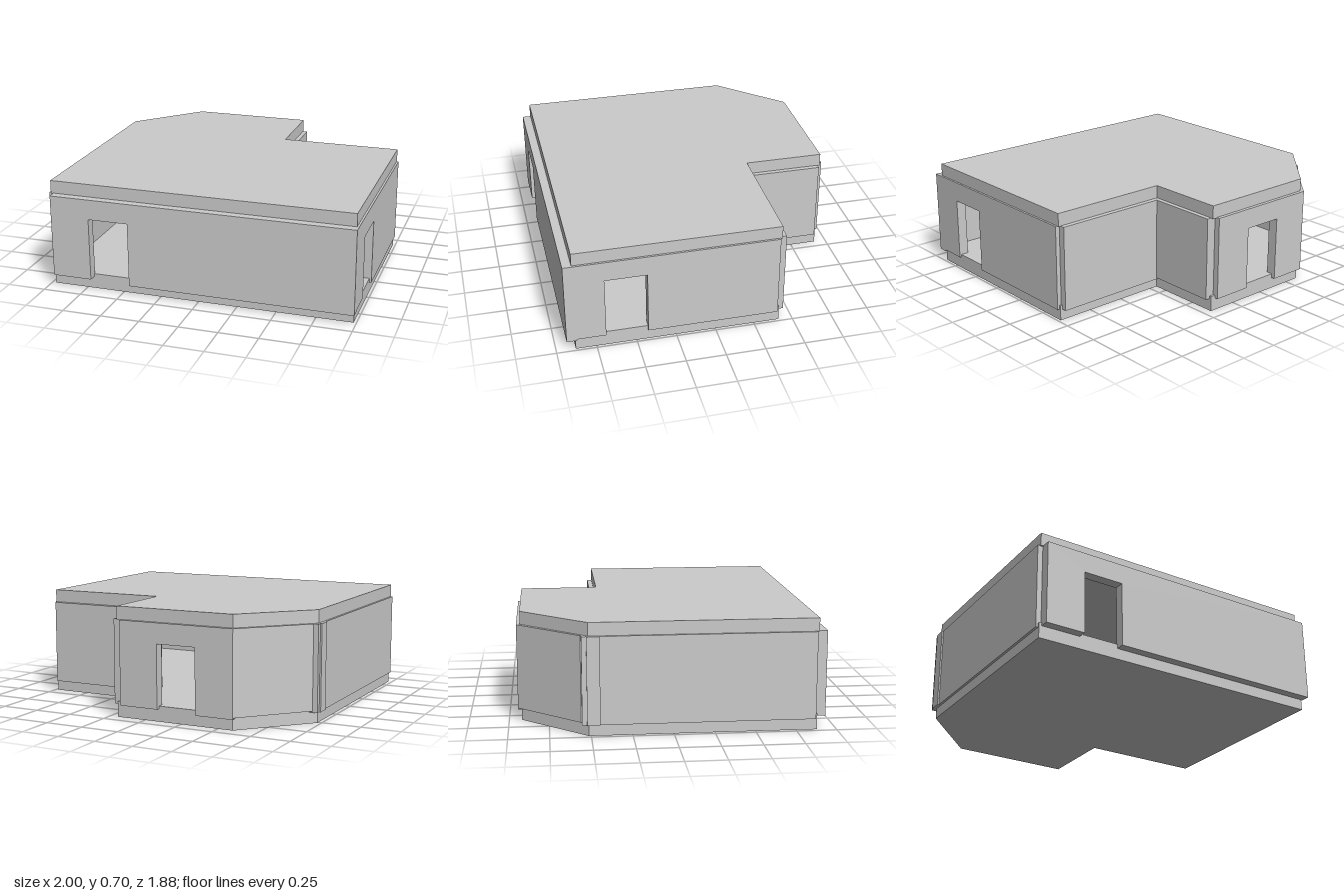
import * as THREE from 'three';

const material = new THREE.MeshStandardMaterial({ color: 0xcccccc, flatShading: true });

// Building footprint as [x, z] corners
const footprint = [
  [-0.975, 0.88], [0.983, 0.88], [0.983, -0.412], [0.195, -0.412],
  [0.195, -0.92], [-0.597, -0.92], [-0.975, -0.515],
];

// Horizontal slab following the footprint
function slab(name, y0, y1) {
  const shape = new THREE.Shape(footprint.map(([x, z]) => new THREE.Vector2(x, -z)));
  const geometry = new THREE.ExtrudeGeometry(shape, { depth: y1 - y0, bevelEnabled: false });
  geometry.rotateX(-Math.PI / 2);
  geometry.translate(0, y0, 0);
  const mesh = new THREE.Mesh(geometry, material);
  mesh.name = name;
  return mesh;
}

// Wall panel whose outer face runs from a to b ([x, z], left to right seen from outside).
// door: [start, end] distances along the wall, open at the bottom.
function wall(name, a, b, { thickness = 0.065, bottom = 0.08, door } = {}) {
  const dx = b[0] - a[0], dz = b[1] - a[1];
  const length = Math.hypot(dx, dz);
  const top = 0.615, doorTop = 0.485, bottomAfterDoor = 0.07;
  const points = [[0, bottom]];
  if (door) {
    points.push([door[0], bottom], [door[0], doorTop], [door[1], doorTop],
      [door[1], bottomAfterDoor], [length, bottomAfterDoor]);
  } else {
    points.push([length, bottom]);
  }
  points.push([length, top], [0, top]);
  const shape = new THREE.Shape(points.map(([x, y]) => new THREE.Vector2(x, y)));
  const geometry = new THREE.ExtrudeGeometry(shape, { depth: thickness, bevelEnabled: false });
  geometry.translate(0, 0, -thickness);
  const mesh = new THREE.Mesh(geometry, material);
  mesh.name = name;
  mesh.position.set(a[0], 0, a[1]);
  mesh.rotation.y = Math.atan2(-dz, dx);
  return mesh;
}

export function createModel() {
  const house = new THREE.Group();
  house.name = 'house';

  // Floor and roof
  house.add(slab('floor', 0, 0.098), slab('roof', 0.612, 0.697));

  // Walls, going round the building
  house.add(
    wall('frontWall', [-0.957, 0.935], [0.995, 0.935], { door: [0.255, 0.515] }),
    wall('leftWall', [0.996, 0.935], [0.996, -0.4], { door: [0.245, 0.507] }),
    wall('innerBackWall', [0.968, -0.444], [0.195, -0.444], { bottom: 0.07 }),
    wall('innerSideWall', [0.225, -0.412], [0.225, -0.905]),
    wall('backWall', [0.163, -0.943], [-0.607, -0.943], { door: [0.26, 0.52] }),
    wall('angledWall', [-0.607, -0.943], [-0.96, -0.56], { thickness: 0.05 }),
    wall('rightWall', [-0.99, -0.555], [-0.99, 0.87], { bottom: 0.07 }),
  );

  // Narrow post beside the angled wall
  house.add(wall('cornerPost', [-1, -0.525], [-1, -0.445], { thickness: 0.05, bottom: 0.07 }));

  return house;
}
